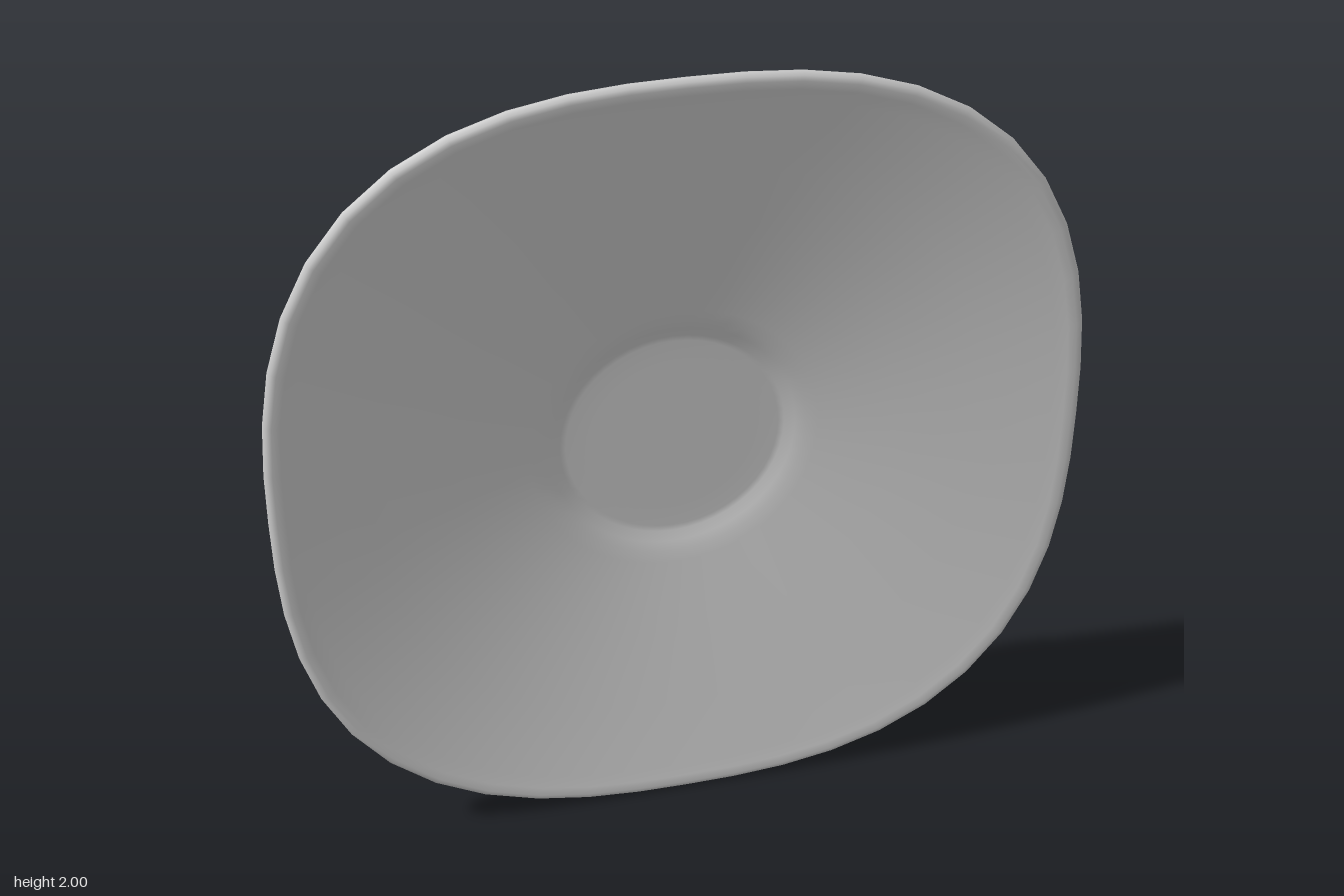
import * as THREE from 'three';

// Squircle saucer standing on its edge, dished side towards +z.
const SEGMENTS = 48;
const POWER = 2.63;
const WELL_RADIUS = 0.34;

// [radius, z] from the front centre, over the rim, to the back centre
const PROFILE = [
  [0, -0.06], [0.2, -0.06], [0.265, -0.06], [0.28, -0.058], [0.305, -0.048], [0.33, -0.04], [0.36, -0.034],
  [0.55, 0.002], [0.75, 0.042], [0.93, 0.078], [0.96, 0.086], [0.98, 0.09],
  [0.992, 0.087], [1, 0.077], [0.997, 0.067], [0.985, 0.061], [0.96, 0.055],
  [0.75, 0.013], [0.55, -0.026], [0.34, -0.066], [0.315, -0.07], [0.3, -0.074],
  [0.265, -0.087], [0.25, -0.09], [0.235, -0.089], [0.19, -0.077], [0.175, -0.075], [0.12, -0.075], [0, -0.075],
];

// Round near the centre, blending to a superellipse at the rim
function outline(angle, radius) {
  const c = Math.abs(Math.cos(angle)), s = Math.abs(Math.sin(angle));
  const squircle = Math.pow(c ** POWER + s ** POWER, -1 / POWER);
  const t = THREE.MathUtils.clamp((radius - WELL_RADIUS) / (0.95 - WELL_RADIUS), 0, 1);
  return radius * THREE.MathUtils.lerp(1, squircle, t);
}

function saucerGeometry() {
  const positions = [], indices = [];
  const rings = PROFILE.slice(1, -1);
  for (const [radius, z] of rings) {
    const widthScale = THREE.MathUtils.lerp(1, 0.985, radius);
    for (let j = 0; j < SEGMENTS; j++) {
      const a = (j / SEGMENTS) * Math.PI * 2;
      const r = outline(a, radius);
      positions.push(Math.cos(a) * r * widthScale, Math.sin(a) * r, z);
    }
  }
  const frontCentre = rings.length * SEGMENTS, backCentre = frontCentre + 1;
  positions.push(0, 0, PROFILE[0][1], 0, 0, PROFILE[PROFILE.length - 1][1]);
  const last = (rings.length - 1) * SEGMENTS;
  for (let j = 0; j < SEGMENTS; j++) {
    const k = (j + 1) % SEGMENTS;
    indices.push(frontCentre, j, k, backCentre, last + k, last + j);
    for (let i = 0; i < rings.length - 1; i++) {
      const p = i * SEGMENTS, q = p + SEGMENTS;
      indices.push(p + j, q + j, p + k, p + k, q + j, q + k);
    }
  }
  const geometry = new THREE.BufferGeometry();
  geometry.setAttribute('position', new THREE.Float32BufferAttribute(positions, 3));
  geometry.setIndex(indices);
  geometry.computeVertexNormals();
  return geometry;
}

export function createModel() {
  const group = new THREE.Group();
  group.name = 'saucerModel';
  const glaze = new THREE.MeshStandardMaterial({ color: 0xcccccc });
  glaze.name = 'pale grey glaze';
  const saucer = new THREE.Mesh(saucerGeometry(), glaze);
  saucer.name = 'saucer';
  saucer.position.y = 1;
  group.add(saucer);
  return group;
}
